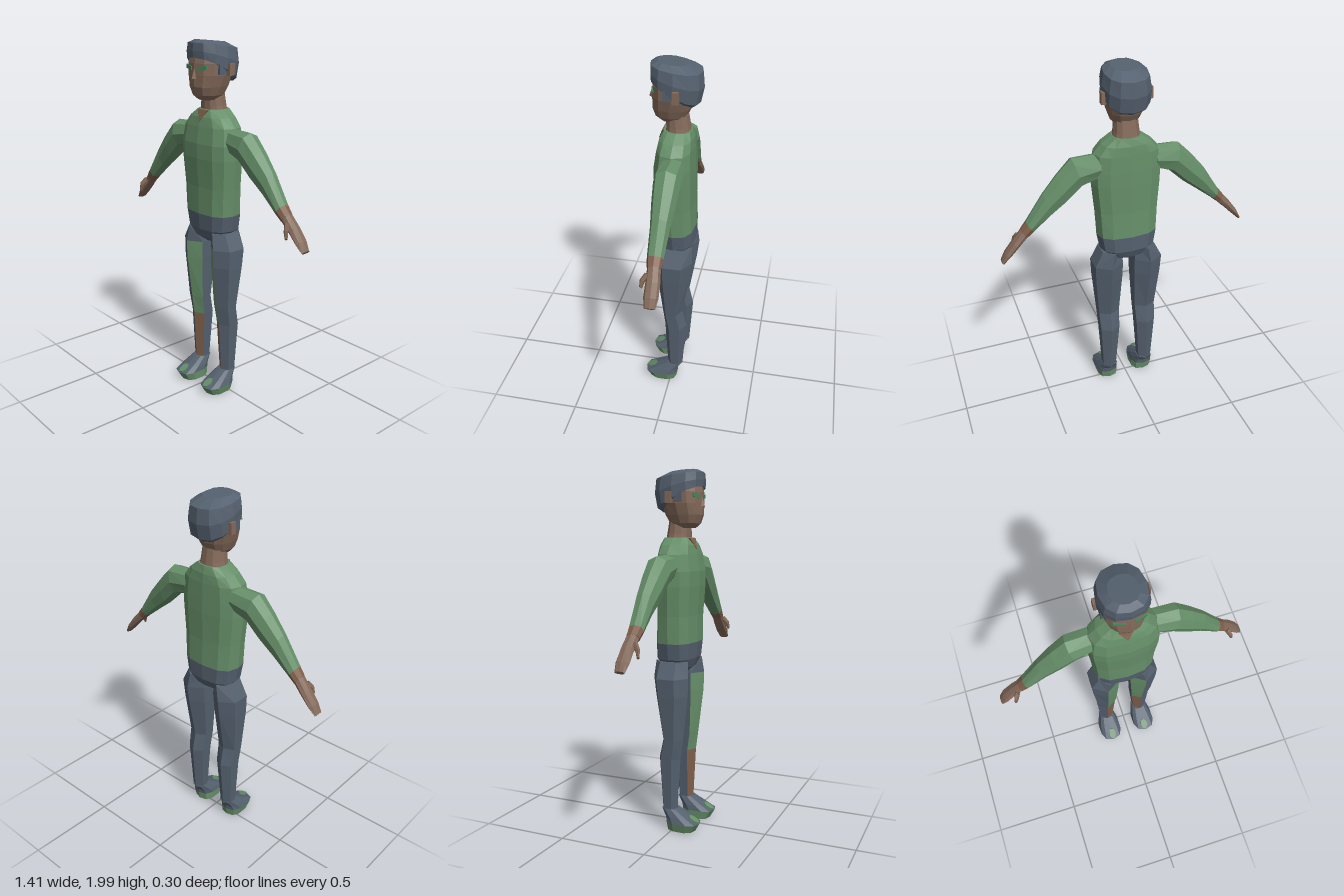
import * as THREE from 'three';

const V = (x, y, z) => new THREE.Vector3(x, y, z);
const material = (name, color) => {
  const m = new THREE.MeshStandardMaterial({ color });
  m.name = name;
  return m;
};

// Ring of n points around c, spanned by u and v; power below 1 makes it boxier
function ring(c, u, v, n, power) {
  const soft = a => Math.sign(a) * Math.abs(a) ** power;
  return Array.from({ length: n }, (_, j) => {
    const t = Math.PI / 2 + (j / n) * Math.PI * 2;
    return c.clone().addScaledVector(u, soft(Math.cos(t))).addScaledVector(v, soft(Math.sin(t)));
  });
}

// Body ring: centre x, half width, then y and z at the front and at the back
const slice = (cx, rx, yf, zf, yb, zb, n = 12, power = 0.85) =>
  ring(V(cx, (yf + yb) / 2, (zf + zb) / 2), V(rx, 0, 0), V(0, (yf - yb) / 2, (zf - zb) / 2), n, power);

// Closed faceted skin through the rings; paint(i, j) picks a material per face
function loft(name, rings, mats, paint = () => 0) {
  const faces = mats.map(() => []);
  const n = rings[0].length, last = rings.length - 1;
  const centre = r => r.reduce((a, p) => a.add(p), V(0, 0, 0)).divideScalar(n);
  const start = centre(rings[0]), end = centre(rings[last]);
  for (let j = 0; j < n; j++) {
    const k = (j + 1) % n;
    for (let i = 0; i < last; i++) {
      const [a, b, c, d] = [rings[i][j], rings[i][k], rings[i + 1][k], rings[i + 1][j]];
      faces[paint(i, j)].push([a, b, c], [a, c, d]);
    }
    faces[paint(0, j)].push([start, rings[0][k], rings[0][j]]);
    faces[paint(last - 1, j)].push([end, rings[last][j], rings[last][k]]);
  }
  // Turn every face outward
  let volume = 0;
  for (const [a, b, c] of faces.flat()) volume += a.dot(b.clone().cross(c));
  const g = new THREE.BufferGeometry(), points = [];
  faces.forEach((list, m) => {
    const from = points.length;
    for (const [a, b, c] of list) points.push(...(volume > 0 ? [a, b, c] : [a, c, b]));
    g.addGroup(from, points.length - from, m);
  });
  g.setFromPoints(points);
  g.computeVertexNormals();
  const mesh = new THREE.Mesh(g, mats);
  mesh.name = name;
  return mesh;
}

export function createModel() {
  const model = new THREE.Group();
  model.name = 'figure';
  const green = material('sweaterGreen', 0x668f69);
  const slate = material('slate', 0x55616f);
  const skin = material('skin', 0x846a5a);
  const russet = material('russet', 0x80604c);
  const eyeGreen = material('eyeGreen', 0x44875f);

  const add = (name, geometry, mat, pos, rot = [0, 0, 0]) => {
    const g = geometry.index ? geometry.toNonIndexed() : geometry;
    g.computeVertexNormals();
    const mesh = new THREE.Mesh(g, mat);
    mesh.name = name;
    mesh.position.set(...pos);
    mesh.rotation.set(...rot);
    model.add(mesh);
  };
  // Level slices given as [y, half width, front z, back z]
  const stack = (rows, power) => rows.map(([y, rx, f, b]) => slice(0, rx, y, f, y, b, 12, power));

  // Sweater and hips
  model.add(loft('sweater', stack([
    [1.07, 0.17, 0.09, -0.122], [1.22, 0.178, 0.09, -0.115], [1.38, 0.192, 0.1, -0.115],
    [1.46, 0.193, 0.1, -0.113], [1.55, 0.178, 0.086, -0.11], [1.6, 0.135, 0.075, -0.106],
    [1.64, 0.078, 0.055, -0.095],
  ], 0.75), [green]));
  model.add(loft('hips', stack([
    [0.9, 0.035, 0.025, -0.06], [0.93, 0.1, 0.065, -0.1],
    [0.98, 0.155, 0.083, -0.122], [1.07, 0.171, 0.09, -0.123],
  ], 0.75), [slate]));

  // Neck, collar patch and head
  model.add(loft('neck', stack([
    [1.62, 0.078, 0.045, -0.09], [1.66, 0.07, 0.045, -0.083], [1.74, 0.062, 0.045, -0.07],
  ], 0.9), [skin]));
  const vee = new THREE.Shape([[-0.04, 0.065], [0, 0], [0.04, 0.065]].map(p => new THREE.Vector2(...p)));
  add('collarPatch', new THREE.ExtrudeGeometry(vee, { depth: 0.008, bevelEnabled: false }),
    russet, [0, 1.575, 0.076], [-0.38, 0, 0]);
  model.add(loft('head', stack([
    [1.69, 0.052, 0.07, -0.04], [1.715, 0.074, 0.1, -0.065], [1.76, 0.092, 0.115, -0.09],
    [1.82, 0.11, 0.115, -0.108], [1.88, 0.115, 0.113, -0.115], [1.94, 0.108, 0.1, -0.115],
  ], 0.85), [skin]));
  add('nose', new THREE.ConeGeometry(0.017, 0.055, 4), skin, [0, 1.83, 0.114]);

  // Hair sloping down toward the nape
  model.add(loft('hair', [
    slice(0, 0.112, 1.915, 0.108, 1.775, -0.112),
    slice(0, 0.123, 1.91, 0.12, 1.79, -0.133),
    slice(0, 0.125, 1.945, 0.123, 1.87, -0.15),
    slice(0, 0.113, 1.985, 0.12, 1.95, -0.143),
    slice(0, 0.07, 2.0, 0.085, 1.985, -0.07),
  ], [slate]));

  for (const s of [1, -1]) {
    const side = s > 0 ? 'left' : 'right';

    // Face details
    add(side + 'Eye', new THREE.BoxGeometry(0.06, 0.02, 0.009), eyeGreen,
      [s * 0.052, 1.858, 0.103], [0, s * 0.24, s * 0.15]);
    add(side + 'Ear', new THREE.BoxGeometry(0.026, 0.062, 0.034), skin, [s * 0.123, 1.85, -0.028]);
    add(side + 'Sideburn', new THREE.BoxGeometry(0.02, 0.055, 0.045), slate, [s * 0.107, 1.852, 0.018]);

    // Arm slices: upper and lower edge in x and y, centre z, half depth
    const arm = rows => rows.map(([x1, y1, x2, y2, z, w]) => ring(
      V(s * (x1 + x2) / 2, (y1 + y2) / 2, z),
      V(s * (x1 - x2) / 2, (y1 - y2) / 2, 0), V(0, 0, w), 8, 0.9));
    model.add(loft(side + 'Sleeve', arm([
      [0.15, 1.55, 0.16, 1.42, -0.02, 0.065], [0.295, 1.545, 0.25, 1.385, -0.015, 0.07],
      [0.375, 1.465, 0.335, 1.305, -0.015, 0.062], [0.455, 1.37, 0.42, 1.24, -0.015, 0.05],
      [0.553, 1.22, 0.515, 1.165, -0.012, 0.042], [0.585, 1.18, 0.55, 1.135, -0.013, 0.037],
    ]), [green, russet], i => (i === 4 ? 1 : 0)));
    model.add(loft(side + 'Hand', arm([
      [0.58, 1.185, 0.548, 1.138, -0.013, 0.034], [0.635, 1.12, 0.6, 1.09, -0.018, 0.037],
      [0.68, 1.06, 0.65, 1.04, -0.018, 0.038], [0.703, 1.015, 0.692, 1.0, -0.018, 0.028],
    ]), [skin]));
    model.add(loft(side + 'Thumb', [
      ring(V(s * 0.595, 1.135, 0.012), V(s * 0.014, 0.01, 0), V(0, 0.01, 0.014), 6, 1),
      ring(V(s * 0.612, 1.105, 0.036), V(s * 0.012, 0.008, 0), V(0, 0.008, 0.012), 6, 1),
      ring(V(s * 0.622, 1.07, 0.043), V(s * 0.007, 0.005, 0), V(0, 0.004, 0.007), 6, 1),
    ], [skin]));

    // Trouser leg: y, inner x, outer x, front z, back z; front inner face is striped
    model.add(loft(side + 'Leg', [
      [0.97, 0.045, 0.152, 0.075, -0.115], [0.88, 0.035, 0.196, 0.083, -0.122],
      [0.78, 0.037, 0.192, 0.08, -0.11], [0.53, 0.05, 0.172, 0.05, -0.068],
      [0.42, 0.055, 0.167, 0.035, -0.092], [0.12, 0.075, 0.152, 0.018, -0.07],
    ].map(([y, a, b, f, k]) =>
      slice(s * (a + b) / 2, s * (b - a) / 2 / 0.866, y, f, y, k, 6, 1)),
    [slate, green, russet], (i, j) => (j !== 0 || i === 0 ? 0 : i < 4 ? 1 : 2)));

    // Shoe with a green lower band and a patch on the instep
    model.add(loft(side + 'Shoe', [
      [0.11, 0.062, 0.012, 0.125, -0.035], [0.115, 0.07, 0.06, 0.153, -0.042],
      [0.113, 0.062, 0.09, 0.095, -0.045], [0.112, 0.045, 0.132, 0.02, -0.07],
    ].map(([x, rx, y, f, k]) => slice(s * x, rx, y, f, y, k, 10, 0.75)),
    [green, slate], i => (i === 0 ? 0 : 1)));
    const patch = new THREE.CylinderGeometry(1, 1, 0.008, 10);
    patch.scale(0.022, 1, 0.034);
    add(side + 'ShoePatch', patch, green, [s * 0.112, 0.079, 0.118], [0.48, 0, 0]);
  }
  return model;
}
